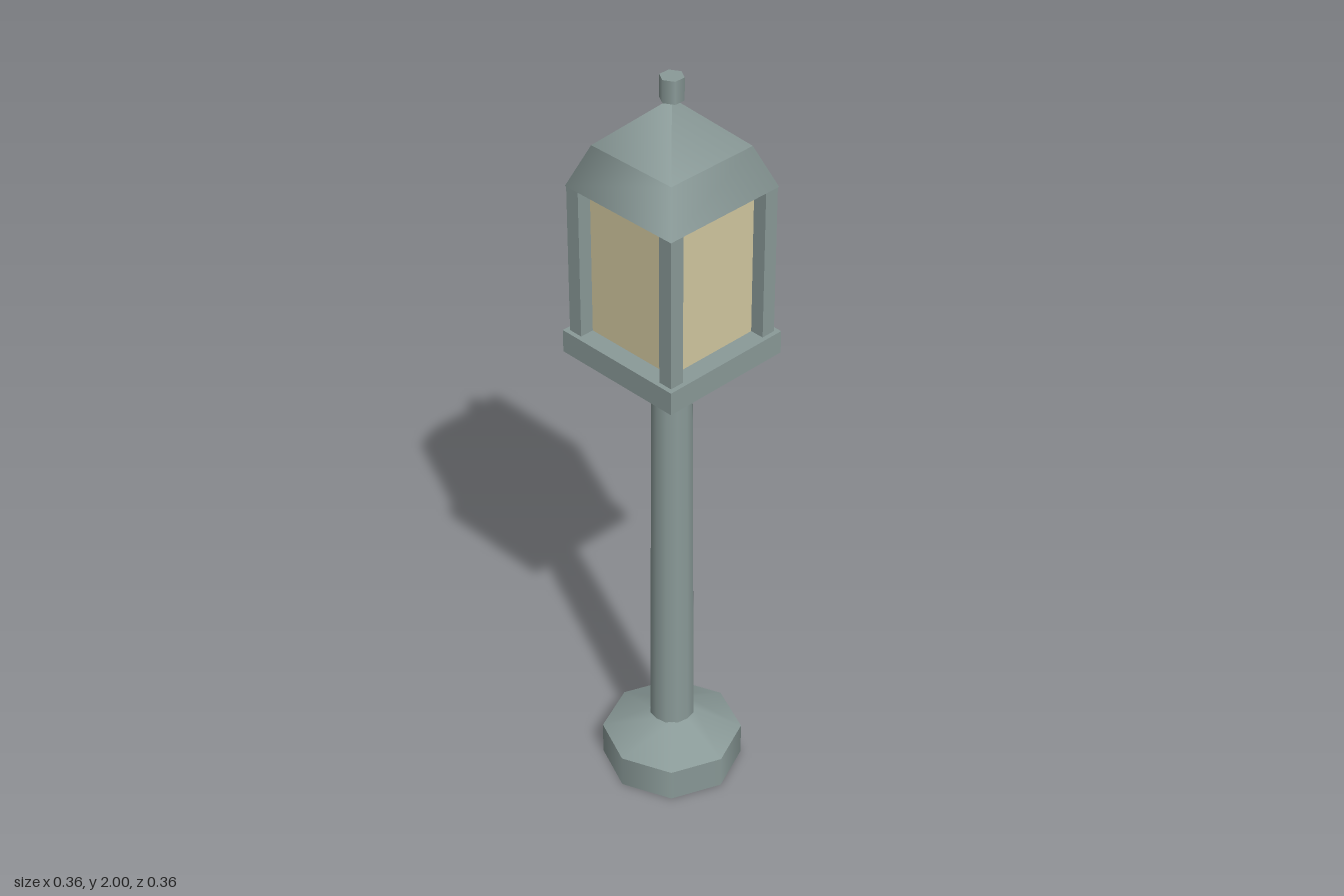
import * as THREE from 'three';

export function createModel() {
  const metal = new THREE.MeshStandardMaterial({ color: 0x8a9a98 });
  metal.name = 'grey green metal';
  const glass = new THREE.MeshStandardMaterial({ color: 0xd2c8a0 });
  glass.name = 'warm glass';
  const model = new THREE.Group();
  model.name = 'lampPost';

  function add(name, geometry, y, material = metal, x = 0, z = 0) {
    const mesh = new THREE.Mesh(geometry, material);
    mesh.name = name;
    mesh.position.set(x, y, z);
    model.add(mesh);
    return mesh;
  }
  // Round part between two heights
  function round(name, rTop, rBottom, y0, y1, sides, turn = 0) {
    const geometry = new THREE.CylinderGeometry(rTop, rBottom, y1 - y0, sides);
    geometry.rotateY(turn);
    return add(name, geometry, (y0 + y1) / 2);
  }

  // Octagonal foot and tapered pole
  round('foot', 0.18, 0.18, 0, 0.09, 8);
  round('footSlope', 0.058, 0.18, 0.09, 0.152, 8);
  round('pole', 0.05, 0.058, 0.14, 1.275, 12);

  // Lantern: tray, glass and corner posts
  add('lanternTray', new THREE.BoxGeometry(0.36, 0.06, 0.36), 1.3);
  add('lanternGlass', new THREE.BoxGeometry(0.262, 0.39, 0.262), 1.525, glass);
  for (const x of [-1, 1]) {
    for (const z of [-1, 1]) {
      add('cornerPost', new THREE.BoxGeometry(0.038, 0.39, 0.038), 1.525, metal, x * 0.149, z * 0.149);
    }
  }

  // Two-pitch square roof
  const diagonal = Math.SQRT2;
  round('lowerRoof', 0.127 * diagonal, 0.17 * diagonal, 1.72, 1.825, 4, Math.PI / 4);
  round('upperRoof', 0, 0.127 * diagonal, 1.825, 1.945, 4, Math.PI / 4);

  // Hexagonal finial
  round('finial', 0.029, 0.029, 1.943, 2, 6, Math.PI / 6);
  return model;
}
